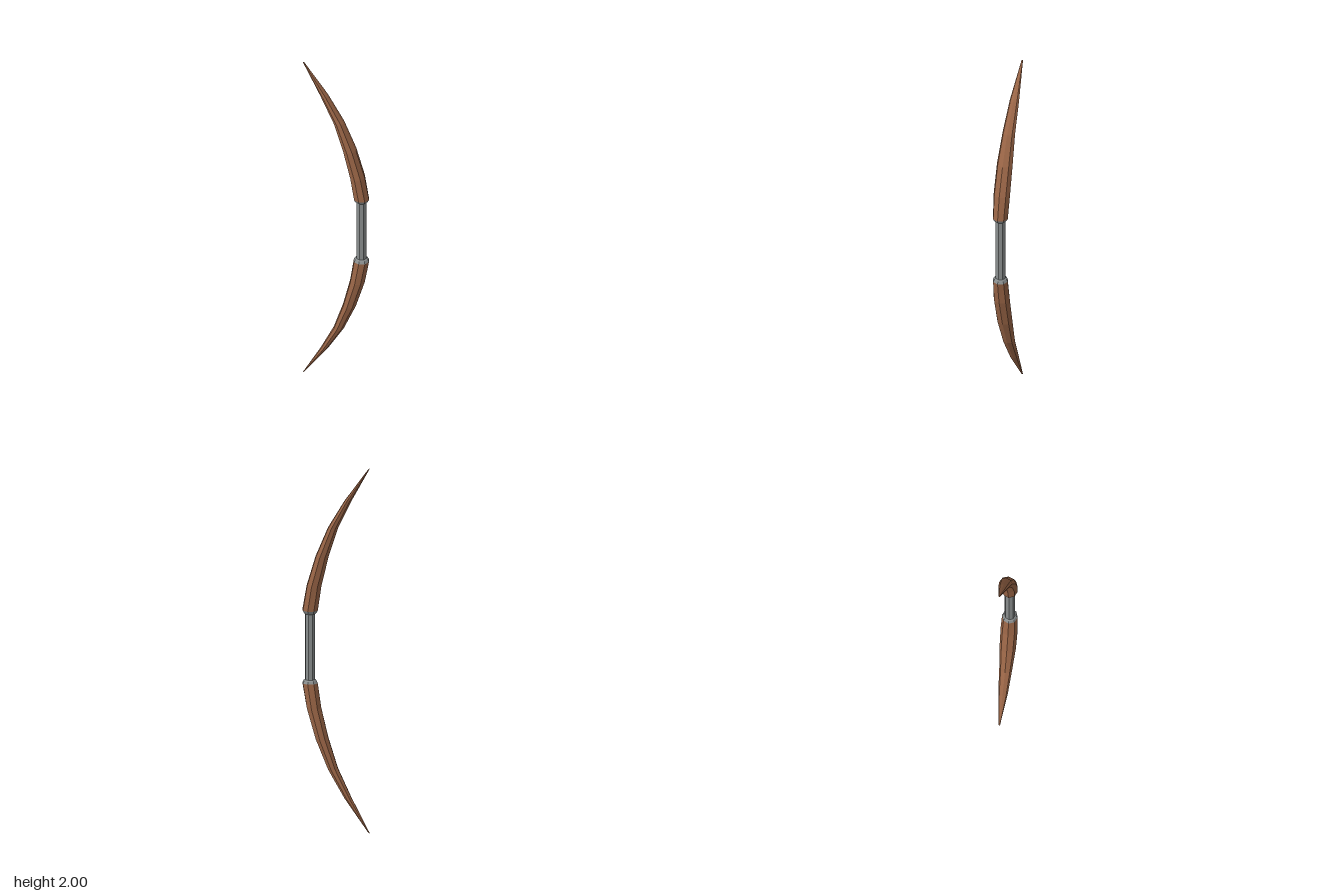
import * as THREE from 'three';

const SIDES = 8;

// Skin over octagonal rings [y, centreX, radiusX, radiusZ], listed from bottom to top, with closed ends
function loft(rings) {
  const pos = [], idx = [];
  for (const [y, cx, rx, rz] of rings) {
    for (let j = 0; j < SIDES; j++) {
      const a = (j / SIDES) * Math.PI * 2;
      pos.push(cx + rx * Math.cos(a), y, rz * Math.sin(a));
    }
  }
  for (let k = 0; k < rings.length - 1; k++) {
    for (let j = 0; j < SIDES; j++) {
      const a = k * SIDES + j, b = k * SIDES + (j + 1) % SIDES;
      idx.push(a, a + SIDES, b, b, a + SIDES, b + SIDES);
    }
  }
  const top = (rings.length - 1) * SIDES;
  for (let j = 1; j < SIDES - 1; j++) {
    idx.push(0, j, j + 1, top, top + j + 1, top + j);
  }
  const geo = new THREE.BufferGeometry();
  geo.setAttribute('position', new THREE.Float32BufferAttribute(pos, 3));
  geo.setIndex(idx);
  const flat = geo.toNonIndexed();
  flat.computeVertexNormals();
  return flat;
}

const mirrorRings = (rings) => rings.map(([y, ...rest]) => [2 - y, ...rest]).reverse();

export function createModel() {
  const wood = new THREE.MeshStandardMaterial({ color: 0x9b6647, flatShading: true });
  wood.name = 'brown wood';
  const metal = new THREE.MeshStandardMaterial({ color: 0x8a8e8e, flatShading: true });
  metal.name = 'grey grip';

  const group = new THREE.Group();
  group.name = 'bow';
  const add = (name, rings, material) => {
    const mesh = new THREE.Mesh(loft(rings), material);
    mesh.name = name;
    group.add(mesh);
  };

  // Curved limbs, tapering to a point
  const limb = [
    [1.2, 0.144, 0.043, 0.042],
    [1.335, 0.122, 0.041, 0.046],
    [1.5, 0.077, 0.036, 0.044],
    [1.662, 0.016, 0.028, 0.035],
    [1.815, -0.067, 0.019, 0.026],
    [2, -0.185, 0.003, 0.004],
  ];
  add('upperLimb', limb, wood);
  add('lowerLimb', mirrorRings(limb), wood);

  // Straight grip with flared collars meeting the limbs
  const halfGrip = [
    [1.18, 0.144, 0.028, 0.028],
    [1.186, 0.144, 0.036, 0.035],
    [1.2, 0.144, 0.043, 0.042],
  ];
  add('grip', [...mirrorRings(halfGrip), ...halfGrip], metal);

  return group;
}
